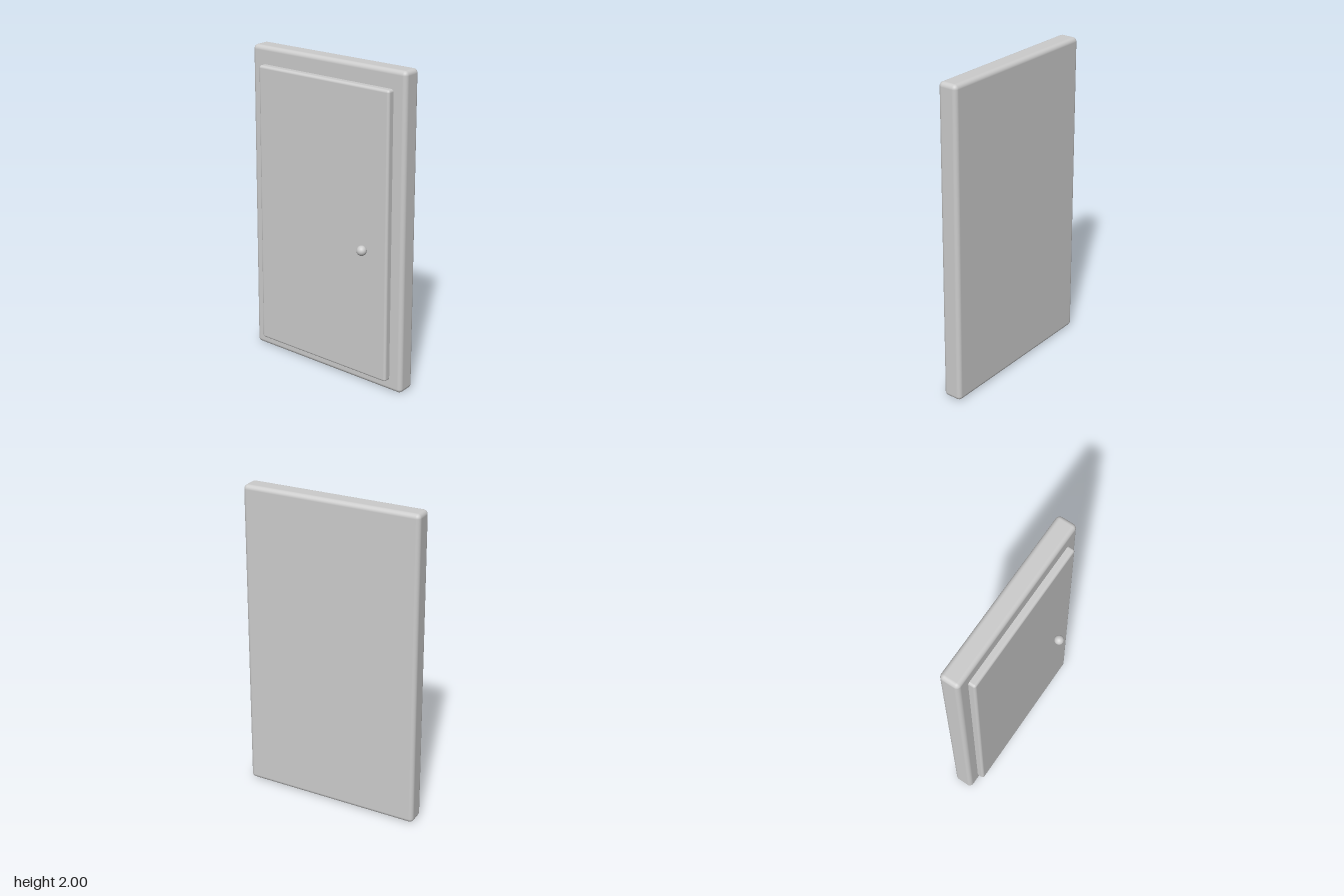
import * as THREE from 'three';
import { RoundedBoxGeometry } from 'three/addons/geometries/RoundedBoxGeometry.js';

// Rounded slab whose half-width narrows from bottom to top
function taperedSlab(name, material, { bottom, top, y0, y1, z0, z1, radius }) {
  const height = y1 - y0;
  const geometry = new RoundedBoxGeometry(bottom * 2, height, z1 - z0, 4, radius);
  geometry.translate(0, (y0 + y1) / 2, (z0 + z1) / 2);
  const p = geometry.attributes.position;
  for (let i = 0; i < p.count; i++) {
    const t = (p.getY(i) - y0) / height;
    p.setX(i, p.getX(i) * THREE.MathUtils.lerp(1, top / bottom, t));
  }
  const mesh = new THREE.Mesh(geometry, material);
  mesh.name = name;
  return mesh;
}

export function createModel() {
  const model = new THREE.Group();
  model.name = 'door';
  const grey = new THREE.MeshStandardMaterial({ color: 0xcccccc });
  grey.name = 'light grey';

  // Thick backing frame
  model.add(taperedSlab('doorFrame', grey, {
    bottom: 0.58, top: 0.565, y0: 0, y1: 2, z0: -0.117, z1: 0.009, radius: 0.027,
  }));

  // Raised door leaf, sunk into the frame
  model.add(taperedSlab('doorPanel', grey, {
    bottom: 0.495, top: 0.482, y0: 0.073, y1: 1.89, z0: -0.04, z1: 0.053, radius: 0.016,
  }));

  // Round knob
  const knob = new THREE.Mesh(new THREE.SphereGeometry(0.031, 32, 20), grey);
  knob.name = 'doorKnob';
  knob.position.set(0.33, 0.908, 0.085);
  model.add(knob);

  return model;
}
